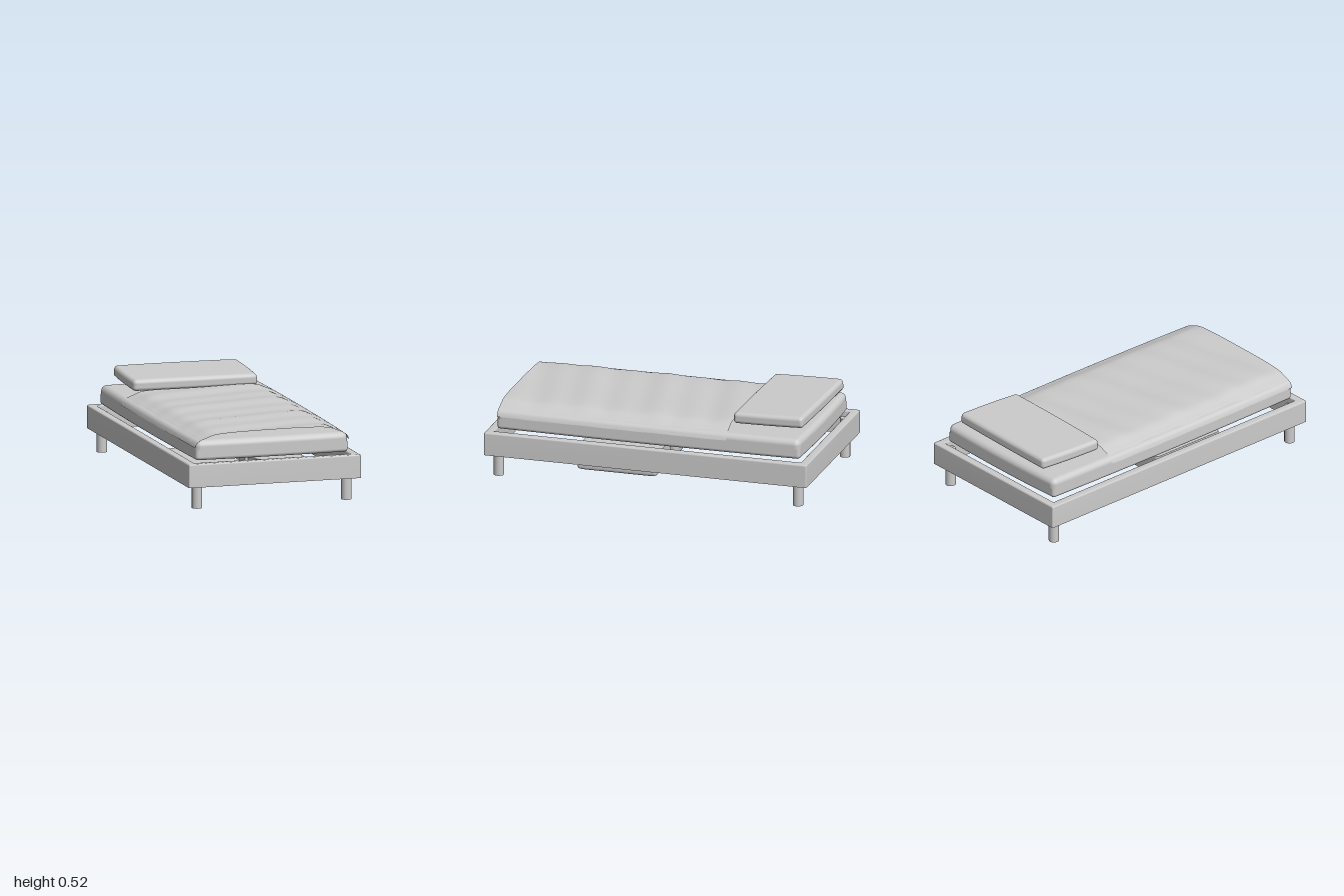
import * as THREE from 'three';

const grey = new THREE.MeshStandardMaterial({ color: 0xcccccc });
const greyDouble = new THREE.MeshStandardMaterial({ color: 0xcccccc, side: THREE.DoubleSide });

function add(parent, name, geometry, material = grey) {
  const mesh = new THREE.Mesh(geometry, material);
  mesh.name = name;
  parent.add(mesh);
  return mesh;
}

// Stacks rounded rectangles; profile is a list of [inset, y].
function loft(hx, hz, r, profile, steps = 5) {
  const pos = [], index = [], n = 4 * (steps + 1);
  for (const [inset, y] of profile) {
    const w = Math.max(hx - inset, 0), d = Math.max(hz - inset, 0);
    const rr = Math.min(r, w, d);
    for (let q = 0; q < 4; q++) {
      const sx = q === 0 || q === 3 ? 1 : -1, sz = q < 2 ? 1 : -1;
      for (let k = 0; k <= steps; k++) {
        const a = (q + k / steps) * Math.PI / 2;
        pos.push(sx * (w - rr) + rr * Math.cos(a), y, sz * (d - rr) + rr * Math.sin(a));
      }
    }
  }
  for (let j = 0; j < profile.length - 1; j++) {
    for (let i = 0; i < n; i++) {
      const a = j * n + i, b = j * n + (i + 1) % n;
      index.push(a, a + n, b, b, a + n, b + n);
    }
  }
  const g = new THREE.BufferGeometry();
  g.setAttribute('position', new THREE.Float32BufferAttribute(pos, 3));
  g.setIndex(index);
  g.computeVertexNormals();
  return g;
}

// Closed cushion: box grid pushed onto rounded edges, with bowed sides and a crowned top.
function cushion(hx, hz, y0, y1, roundTop, roundBottom, bowX, bowZ, crown) {
  const hy = (y1 - y0 - crown) / 2, edge = 0.6;
  const g = new THREE.BoxGeometry(2, 2, 2, 20, 10, 20);
  const p = g.attributes.position, nrm = g.attributes.normal;
  const v = new THREE.Vector3(), core = new THREE.Vector3();
  for (let i = 0; i < p.count; i++) {
    const r = p.getY(i) > 0 ? roundTop : roundBottom;
    // The outer grid rows fall inside the rounded margin
    const spread = (t, h) => {
      const a = Math.abs(t);
      return Math.sign(t) * (a < edge ? (a / edge) * (h - r) : h - r + r * (a - edge) / (1 - edge));
    };
    v.set(spread(p.getX(i), hx), spread(p.getY(i), hy), spread(p.getZ(i), hz));
    core.set(
      THREE.MathUtils.clamp(v.x, r - hx, hx - r),
      THREE.MathUtils.clamp(v.y, r - hy, hy - r),
      THREE.MathUtils.clamp(v.z, r - hz, hz - r));
    v.sub(core).normalize();
    nrm.setXYZ(i, v.x, v.y, v.z);
    v.multiplyScalar(r).add(core);
    const u = v.x / hx, w = v.z / hz;
    const lift = crown * (1 - u ** 4) * (1 - w ** 8) * Math.max(0, v.y / hy);
    p.setXYZ(i, v.x * (1 - bowX * w * w), y0 + hy + v.y + lift, v.z * (1 - bowZ * u * u));
  }
  return g;
}

export function createModel() {
  const bed = new THREE.Group();
  bed.name = 'bed';

  // Hollow rails, open underneath, with softened top edges
  add(bed, 'frame', loft(0.535, 1, 0.008, [
    [0, 0.135], [0, 0.266], [0.003, 0.272], [0.009, 0.275],
    [0.044, 0.275], [0.049, 0.272], [0.051, 0.267], [0.051, 0.135],
  ]), greyDouble);

  // Round legs inside the corners
  for (const x of [-0.463, 0.463]) {
    for (const z of [-0.927, 0.927]) {
      add(bed, 'leg', new THREE.CylinderGeometry(0.031, 0.031, 0.24, 16)).position.set(x, 0.12, z);
    }
  }

  add(bed, 'mattress', cushion(0.485, 0.95, 0.285, 0.41, 0.036, 0.02, 0.025, 0.012, 0.008));

  // Thin blanket: hugs the mattress shoulders, diagonal ripples along the length
  const half = [[0, 0.442], [0.3, 0.441], [0.37, 0.434], [0.42, 0.415], [0.455, 0.402], [0.478, 0.386], [0.487, 0.362]];
  const section = new THREE.CatmullRomCurve3([
    ...half.slice(1).reverse().map(([x, y]) => new THREE.Vector3(-x, y, 0)),
    ...half.map(([x, y]) => new THREE.Vector3(x, y, 0)),
  ]).getSpacedPoints(60);
  const blanket = new THREE.PlaneGeometry(1, 1.42, 60, 80);
  blanket.rotateX(-Math.PI / 2).translate(0, 0, 0.225);
  const p = blanket.attributes.position;
  for (let i = 0; i < p.count; i++) {
    const { x, y } = section[i % 61], z = p.getZ(i);
    const phase = (z + 0.22 * x) * Math.PI * 2;
    const fade = 1 - 0.8 * THREE.MathUtils.smoothstep(Math.abs(x), 0.3, 0.46);
    const ripple = 0.003 * Math.sin(phase / 0.22) + 0.003 * Math.sin(phase / 0.5 + 1);
    p.setXYZ(i, x * (1 - 0.02 * (z / 0.95) ** 2), y + ripple * fade, z);
  }
  blanket.computeVertexNormals();
  add(bed, 'blanket', blanket, greyDouble);

  // Pillow, laid slightly askew
  const pillow = add(bed, 'pillow', cushion(0.388, 0.22, -0.037, 0.035, 0.024, 0.02, 0.015, 0.015, 0.005));
  pillow.position.set(-0.01, 0.476, -0.72);
  pillow.rotation.set(0.033, -0.025, 0);

  // Two storage bins with a small grip on one side
  for (const x of [-0.198, 0.202]) {
    const bin = new THREE.Group();
    bin.name = 'storageBin';
    bin.position.set(x, 0, 0.235);
    add(bin, 'binShell', loft(0.148, 0.247, 0.022, [
      [0.012, 0.04], [0.003, 0.046], [0, 0.058], [0, 0.178], [0.002, 0.18], [0.01, 0.18], [0.148, 0.18],
    ]), greyDouble);
    add(bin, 'binGrip', new THREE.BoxGeometry(0.016, 0.07, 0.12)).position.set(-0.1565, 0.125, 0);
    bed.add(bin);
  }

  return bed;
}
